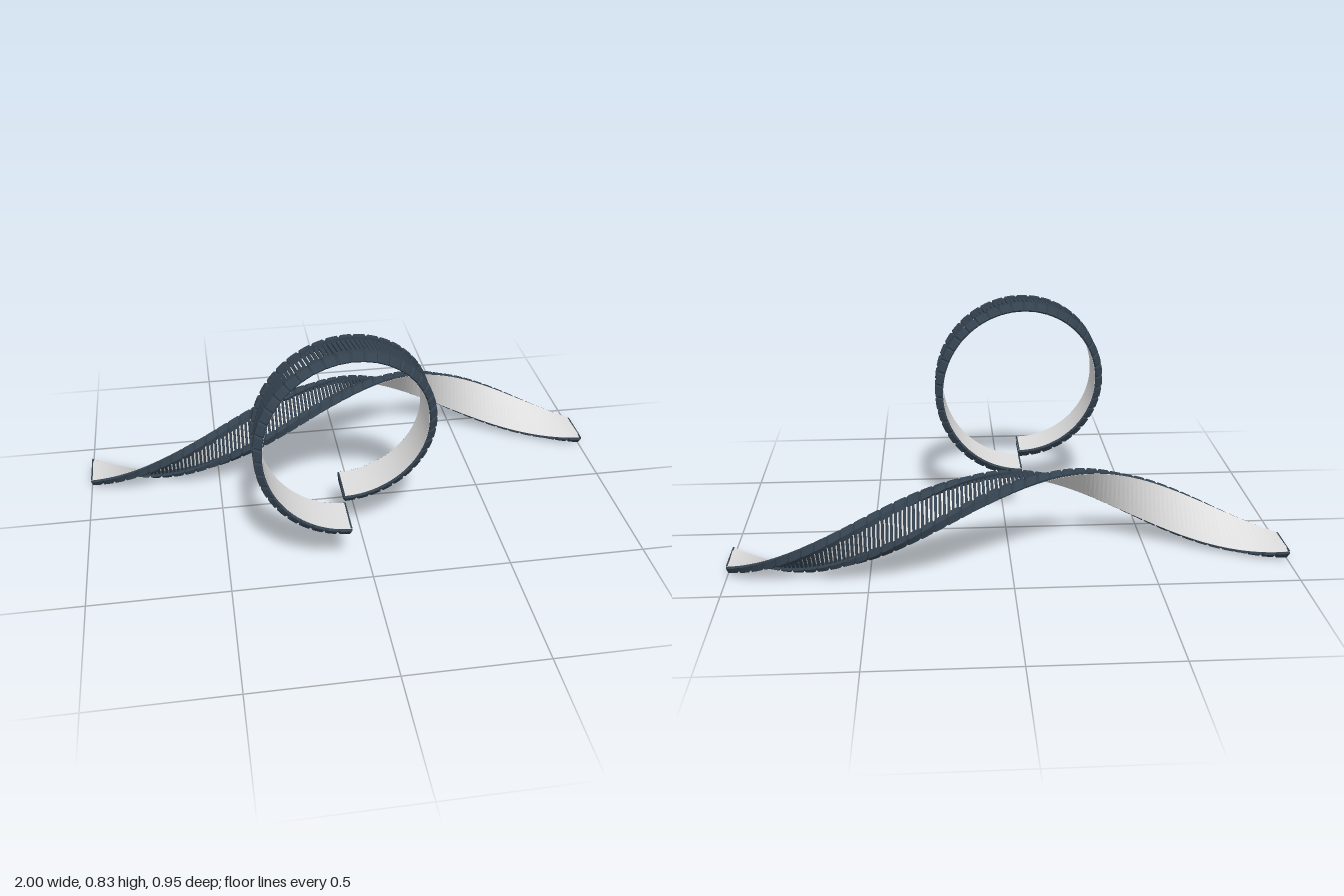
import * as THREE from 'three';
import { toCreasedNormals } from 'three/addons/utils/BufferGeometryUtils.js';

const railMat = new THREE.MeshStandardMaterial({ color: 0x34424f });
railMat.name = 'dark slate';
const panelMat = new THREE.MeshStandardMaterial({ color: 0xdedede });
panelMat.name = 'light grey';

// Path frames: s runs 0..1 along the track, w across it, d outward from its inner face
function loopFrame(s, w, d) {
  const a = s * Math.PI * 2, R = 0.3;
  const out = new THREE.Vector3(-Math.sin(a), -Math.cos(a), 0);
  const along = new THREE.Vector3(-R * Math.cos(a), R * Math.sin(a), -0.0495 * Math.sin(a / 2)).normalize();
  const across = out.clone().cross(along);
  return new THREE.Vector3(-0.07, 0.495, 0.291 + 0.099 * Math.cos(a / 2))
    .addScaledVector(out, R + d).addScaledVector(across, w);
}

function corkscrewFrame(s, w, d) {
  const a = s * Math.PI * 2, r = 0.13 + d, x = 2 * s - 1;
  return new THREE.Vector3(
    x,
    0.173 - r * Math.cos(a) + w * Math.sin(a),
    -0.301 + r * Math.sin(a) + w * Math.cos(a) + 0.018 * x ** 4
  );
}

// Skins a list of [s, profile] sections along a frame and caps both ends
function loft(frame, sections, out) {
  const rings = sections.map(([s, pts]) => pts.map(([w, d]) => frame(s, w, d)));
  const tri = (...v) => v.forEach(p => out.push(p.x, p.y, p.z));
  const n = rings[0].length;
  for (let i = 0; i < rings.length - 1; i++) {
    const A = rings[i], B = rings[i + 1];
    for (let j = 0; j < n; j++) {
      const k = (j + 1) % n;
      tri(A[j], A[k], B[k]);
      tri(A[j], B[k], B[j]);
    }
  }
  const first = rings[0], last = rings[rings.length - 1];
  for (let j = 1; j < n - 1; j++) {
    tri(first[0], first[j + 1], first[j]);
    tri(last[0], last[j], last[j + 1]);
  }
}

function makeMesh(name, material, positions) {
  const g = new THREE.BufferGeometry();
  g.setAttribute('position', new THREE.Float32BufferAttribute(positions, 3));
  const mesh = new THREE.Mesh(toCreasedNormals(g, 0.35), material);
  mesh.name = name;
  return mesh;
}

const rect = (w, d0, d1) => [[-w, d0], [w, d0], [w, d1], [-w, d1]];
const mirror = pts => pts.map(([w, d]) => [-w, d]).reverse();

// Edge rail profile: full at each block, pinched at the notches between blocks
const railFull = [[0.045, 0], [0.08, 0], [0.085, 0.006], [0.066, 0.03], [0.045, 0.03]];
const railNotch = [[0.049, 0], [0.078, 0], [0.08, 0.006], [0.062, 0.024], [0.049, 0.024]];

function makeTrack(name, frame, blocks, slatCover) {
  const group = new THREE.Group();
  group.name = name;

  // Smooth pale running surface
  const panel = [], steps = 120;
  const panelSections = [];
  for (let i = 0; i <= steps; i++) panelSections.push([i / steps, rect(0.078, -0.001, 0.007)]);
  loft(frame, panelSections, panel);
  group.add(makeMesh('innerPanel', panelMat, panel));

  // Notched rails on both edges
  const railSections = [];
  for (let i = 0; i < blocks; i++) {
    railSections.push([i / blocks, railNotch]);
    for (const t of [0.13, 0.5, 0.87]) railSections.push([(i + t) / blocks, railFull]);
  }
  railSections.push([1, railNotch]);
  const left = [], right = [];
  loft(frame, railSections, left);
  loft(frame, railSections.map(([s, p]) => [s, mirror(p)]), right);
  group.add(makeMesh('edgeRail', railMat, left), makeMesh('oppositeEdgeRail', railMat, right));

  // Cross slats on the outer face
  const slats = [], count = blocks * 3;
  for (let i = 0; i < count; i++) {
    const mid = (i + 0.5) / count, half = slatCover / 2 / count;
    loft(frame, [[mid - half, rect(0.05, 0.005, 0.02)], [mid + half, rect(0.05, 0.005, 0.02)]], slats);
  }
  group.add(makeMesh('crossSlats', railMat, slats));

  // Closing bars at the two ends
  const bars = [], end = [[-0.078, -0.002], [0.078, -0.002], [0.062, 0.024], [-0.062, 0.024]];
  for (const s of [0, 0.997]) loft(frame, [[s, end], [s + 0.003, end]], bars);
  group.add(makeMesh('endBars', railMat, bars));
  return group;
}

export function createModel() {
  const model = new THREE.Group();
  model.name = 'twistedTracks';
  model.add(makeTrack('loopTrack', loopFrame, 42, 0.7));
  model.add(makeTrack('corkscrewTrack', corkscrewFrame, 44, 0.62));
  return model;
}
